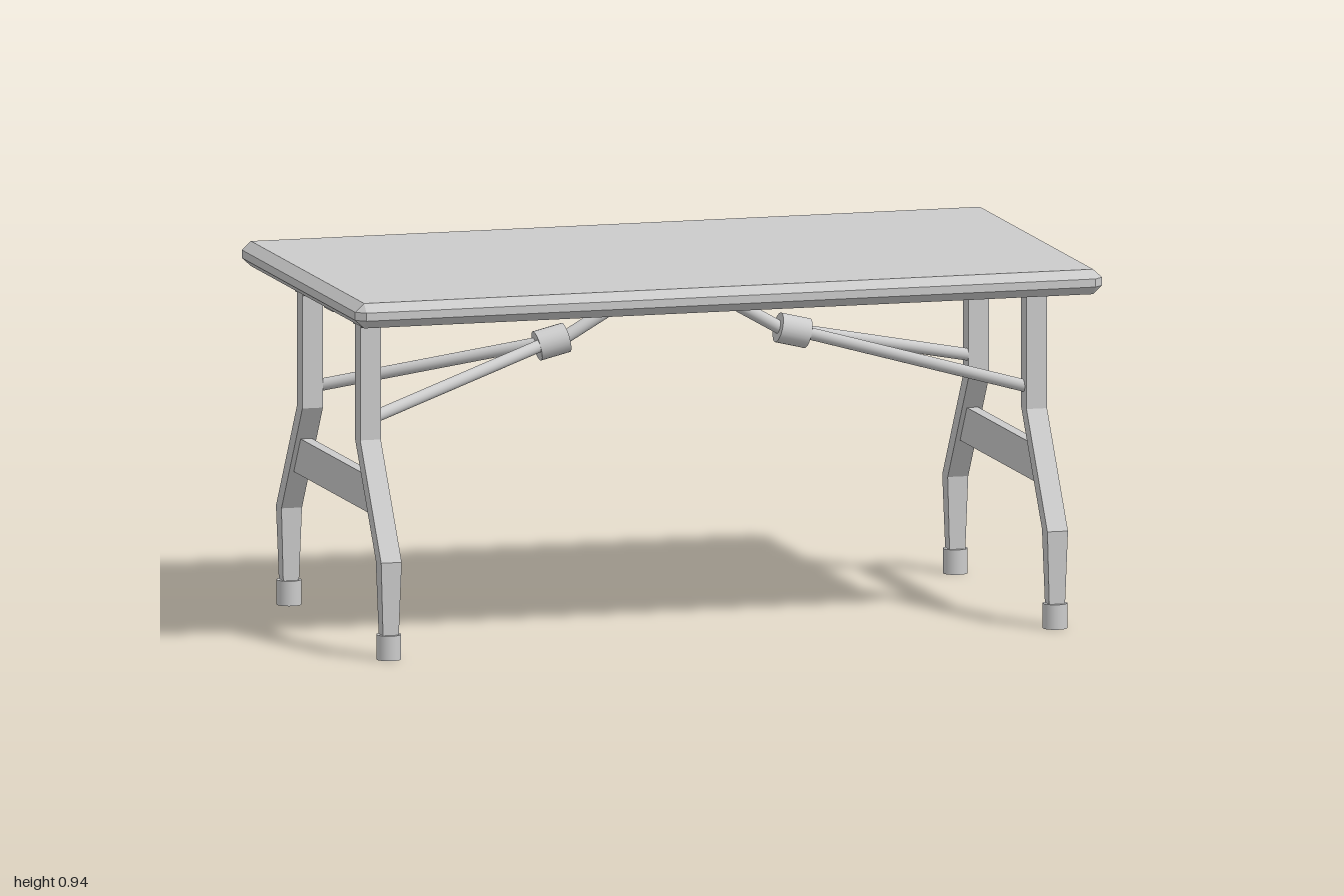
import * as THREE from 'three';
import { ConvexGeometry } from 'three/addons/geometries/ConvexGeometry.js';

const V = (x, y, z) => new THREE.Vector3(x, y, z);

export function createModel() {
  const group = new THREE.Group();
  const smooth = new THREE.MeshStandardMaterial({ color: 0xcccccc });
  const flat = new THREE.MeshStandardMaterial({ color: 0xcccccc, flatShading: true });

  function add(name, geometry, material, parent = group) {
    const mesh = new THREE.Mesh(geometry, material);
    mesh.name = name;
    parent.add(mesh);
    return mesh;
  }

  // Cylinder running between two points
  function rod(name, a, b, radius, parent) {
    const mesh = add(name, new THREE.CylinderGeometry(radius, radius, a.distanceTo(b), 24), smooth, parent);
    mesh.position.copy(a).add(b).multiplyScalar(0.5);
    mesh.quaternion.setFromUnitVectors(V(0, 1, 0), b.clone().sub(a).normalize());
    return mesh;
  }

  // Square bar through level sections [y, centre z, half depth, half width], top to bottom
  function bar(sections) {
    const pos = [], idx = [];
    for (const [y, z, d, w] of sections) {
      pos.push(-w, y, z - d, -w, y, z + d, w, y, z + d, w, y, z - d);
    }
    const n = sections.length - 1;
    for (let i = 0; i < n; i++) {
      for (let j = 0; j < 4; j++) {
        const a = i * 4 + j, b = i * 4 + (j + 1) % 4;
        idx.push(a, a + 4, b, b, a + 4, b + 4);
      }
    }
    const e = n * 4;
    idx.push(0, 1, 2, 0, 2, 3, e, e + 2, e + 1, e, e + 3, e + 2);
    const geometry = new THREE.BufferGeometry();
    geometry.setAttribute('position', new THREE.Float32BufferAttribute(pos, 3));
    geometry.setIndex(idx);
    const faceted = geometry.toNonIndexed();
    faceted.computeVertexNormals();
    return faceted;
  }

  // Tabletop with bevelled edges and clipped corners
  const corners = [];
  for (const sx of [-1, 1]) for (const sz of [-1, 1]) {
    for (const y of [0.875, 0.94]) corners.push(V(sx * 0.976, y, sz * 0.519));
    for (const y of [0.897, 0.918]) {
      corners.push(V(sx, y, sz * 0.519), V(sx * 0.976, y, sz * 0.541));
    }
  }
  add('tabletop', new ConvexGeometry(corners), flat);

  // Rails under the top
  for (const [name, z] of [['frontRail', 0.265], ['centreRail', 0], ['backRail', -0.265]]) {
    add(name, new THREE.BoxGeometry(1.84, 0.036, 0.08), flat).position.set(0, 0.858, z);
  }

  // Leg frame and folding brace at each end
  for (const [side, s] of [['left', 1], ['right', -1]]) {
    const frame = new THREE.Group();
    frame.name = side + 'LegFrame';
    group.add(frame);

    for (const [end, f] of [['Front', 1], ['Back', -1]]) {
      const leg = add(side + end + 'Leg', bar([
        [0.842, f * 0.265, 0.025, 0.0275],
        [0.545, f * 0.265, 0.025, 0.0275],
        [0.255, f * 0.457, 0.025, 0.0275],
        [0.06, f * 0.457, 0.02, 0.021],
      ]), flat, frame);
      leg.position.x = s * 0.892;

      const foot = add(side + end + 'Foot', new THREE.CylinderGeometry(0.032, 0.032, 0.065, 24), smooth, frame);
      foot.position.set(s * 0.892, 0.0325, f * 0.457);

      rod(side + end + 'Brace', V(s * 0.32, 0.733, 0), V(s * 0.885, 0.597, f * 0.267), 0.016, frame);
    }

    // Cross plate, its ends following the slope of the legs
    add(side + 'CrossPlate', bar([
      [0.456, 0, 0.322, 0.015],
      [0.361, 0, 0.385, 0.015],
    ]), flat, frame).position.x = s * 0.892;

    // Collar where the braces meet, and the strut up to the centre rail
    rod(side + 'Collar', V(s * 0.284, 0.739, 0), V(s * 0.362, 0.72, 0), 0.039, frame);
    rod(side + 'Strut', V(s * 0.32, 0.72, 0), V(s * 0.08, 0.858, 0), 0.017, frame);
  }
  return group;
}
